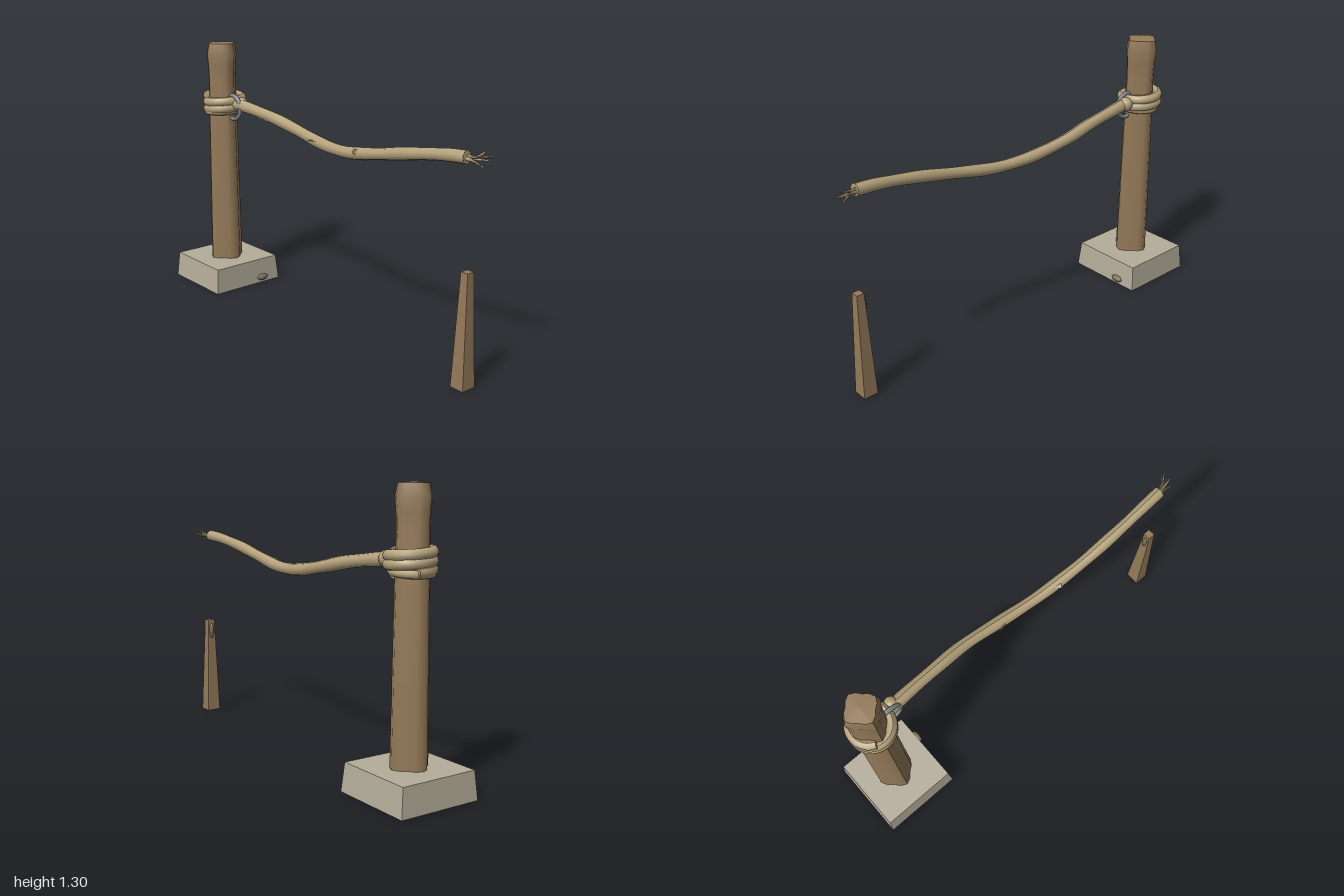
import * as THREE from 'three';

const mat = (color, flat = false) => new THREE.MeshStandardMaterial({ color, flatShading: flat, side: THREE.DoubleSide });
const WOOD = 0x947a59, ROPE = 0xb5a27c, STONE = 0xb5ad9b, METAL = 0x85868a;
const V = (x, y, z) => new THREE.Vector3(x, y, z);

export function createModel() {
  const root = new THREE.Group();
  const add = (name, geo, material, x = 0, y = 0, z = 0) => {
    const m = new THREE.Mesh(geo, material);
    m.name = name;
    m.position.set(x, y, z);
    root.add(m);
    return m;
  };

  // Square block that tapers towards its top
  const frustum = (w, d, h, topX, topZ) => {
    const g = new THREE.BoxGeometry(w, h, d);
    const p = g.attributes.position;
    for (let i = 0; i < p.count; i++) {
      if (p.getY(i) > 0) p.setXYZ(i, p.getX(i) * topX, p.getY(i), p.getZ(i) * topZ);
    }
    return g.translate(0, h / 2, 0);
  };

  // Tube with capped ends; sizeAt(t) scales the radius along the path
  const rope = (name, points, radius, sizeAt = () => 1, segs = 64, sides = 10, color = ROPE) => {
    const curve = new THREE.CatmullRomCurve3(points);
    const g = new THREE.TubeGeometry(curve, segs, radius, sides, false);
    const p = g.attributes.position, v = new THREE.Vector3();
    for (let i = 0; i < p.count; i++) {
      const t = Math.floor(i / (sides + 1)) / segs;
      const c = curve.getPointAt(t);
      v.fromBufferAttribute(p, i).sub(c).multiplyScalar(sizeAt(t)).add(c);
      p.setXYZ(i, v.x, v.y, v.z);
    }
    g.computeVertexNormals();
    add(name, g, mat(color));
    for (const t of [0, 1]) {
      const cap = add(name + 'End', new THREE.CircleGeometry(radius * sizeAt(t), sides), mat(color));
      cap.position.copy(curve.getPointAt(t));
      cap.lookAt(cap.position.clone().addScaledVector(curve.getTangentAt(t), t ? 1 : -1));
    }
  };

  // Footing block with a small pebble on its side
  add('footing', frustum(0.4, 0.405, 0.13, 0.95, 0.94), mat(STONE, true), -0.8);
  const pebble = add('pebble', new THREE.SphereGeometry(1, 8, 6), mat(0x7d705c), -0.597, 0.03, -0.092);
  pebble.scale.set(0.015, 0.017, 0.035);

  // Post: rounded diamond section, swelling slightly at the head
  const levels = [[0, 0.096], [0.15, 0.094], [0.5, 0.09], [0.9, 0.085], [1.1, 0.08], [1.18, 0.083], [1.24, 0.089], [1.295, 0.077]];
  const post = new THREE.LatheGeometry(levels.map(([y, r]) => new THREE.Vector2(r, y)), 16);
  const squareOff = (g) => {
    const p = g.attributes.position;
    for (let i = 0; i < p.count; i++) {
      const a = Math.atan2(p.getZ(i), p.getX(i));
      const k = 1 - 0.22 * Math.sin(2 * a) ** 2;
      p.setXYZ(i, p.getX(i) * k, p.getY(i), p.getZ(i) * k);
    }
    g.computeVertexNormals();
    return g;
  };
  add('post', squareOff(post), mat(WOOD), -0.8);
  const top = new THREE.LatheGeometry([new THREE.Vector2(0.077, 1.295), new THREE.Vector2(0, 1.3)], 16);
  add('postTop', squareOff(top), mat(WOOD), -0.8);
  add('postFoot', new THREE.CircleGeometry(0.08, 4).rotateX(Math.PI / 2), mat(WOOD), -0.8, -0.001);

  // Rope wound around the post, its loose end lying at the front
  const coil = [];
  const turns = 2.25, steps = 36;
  for (let i = 0; i <= steps; i++) {
    const t = i / steps, a = Math.PI * (0.62 + 2 * turns * t);
    coil.push(V(-0.795 + 0.088 * Math.cos(a), 1.025 - 0.08 * t, -0.008 + 0.09 * Math.sin(a)));
  }
  rope('coil', coil, 0.024, () => 1, 120);
  const binding = add('lowerBinding', new THREE.TorusGeometry(0.083, 0.018, 8, 32).rotateX(Math.PI / 2), mat(ROPE), -0.797, 0.94, 0);
  binding.rotation.z = 0.06;

  // Knot and metal ring where the rope leaves the post
  const knot = add('knot', new THREE.SphereGeometry(1, 14, 10), mat(ROPE), -0.67, 0.985, -0.028);
  knot.scale.set(0.034, 0.036, 0.036);
  add('ring', new THREE.TorusGeometry(0.062, 0.011, 8, 28), mat(METAL), -0.705, 0.967, 0);

  // Long sagging rope
  const path = [
    [-0.71, 0.985, -0.012], [-0.6, 0.975, -0.024], [-0.4, 0.948, -0.038], [-0.25, 0.918, -0.047],
    [-0.05, 0.885, -0.035], [0.08, 0.876, -0.022], [0.2, 0.88, -0.01], [0.4, 0.912, 0.005],
    [0.6, 0.95, 0.01], [0.8, 0.98, 0.005], [0.905, 0.988, 0]
  ].map((p) => V(...p));
  rope('hangingRope', path, 0.03, (t) => 1 - 0.1 * t + 0.04 * Math.sin(t * 34));

  // Splinters peeling from the rope
  for (const [x, y, z, turn] of [[-0.04, 0.893, -0.012, 0.35], [0.23, 0.9, -0.002, -0.5], [-0.47, 0.938, -0.018, 0.2]]) {
    const s = add('peelingFibre', new THREE.ConeGeometry(0.014, 0.1, 6), mat(ROPE), x, y, z);
    s.rotation.set(0, turn, Math.PI / 2);
  }

  // Frayed end
  const tips = [[0.99, 0.985, -0.03], [0.985, 1.008, -0.012], [0.975, 0.955, -0.018], [0.985, 0.97, 0.012],
    [0.96, 1.012, -0.045], [0.993, 0.998, -0.055]];
  tips.forEach(([x, y, z], i) => {
    const start = V(0.89, 0.985 + 0.012 * Math.sin(i * 2), 0.012 * Math.cos(i * 2));
    const mid = V(0.935, 0.984 + (y - 0.985) * 0.3, z * 0.3);
    rope('frayedStrand', [start, mid, V(x, y, z)], 0.008, (t) => 1 - 0.6 * t, 8, 5, 0x9c8868);
  });

  // Separate tapering stake with a knot in the wood
  add('stake', frustum(0.07, 0.074, 0.515, 0.52, 0.52), mat(WOOD, true), 0.932);
  const burl = add('stakeBurl', new THREE.SphereGeometry(1, 10, 8), mat(0x7d684c), 0.912, 0.452, 0);
  burl.scale.set(0.014, 0.042, 0.014);

  return root;
}
